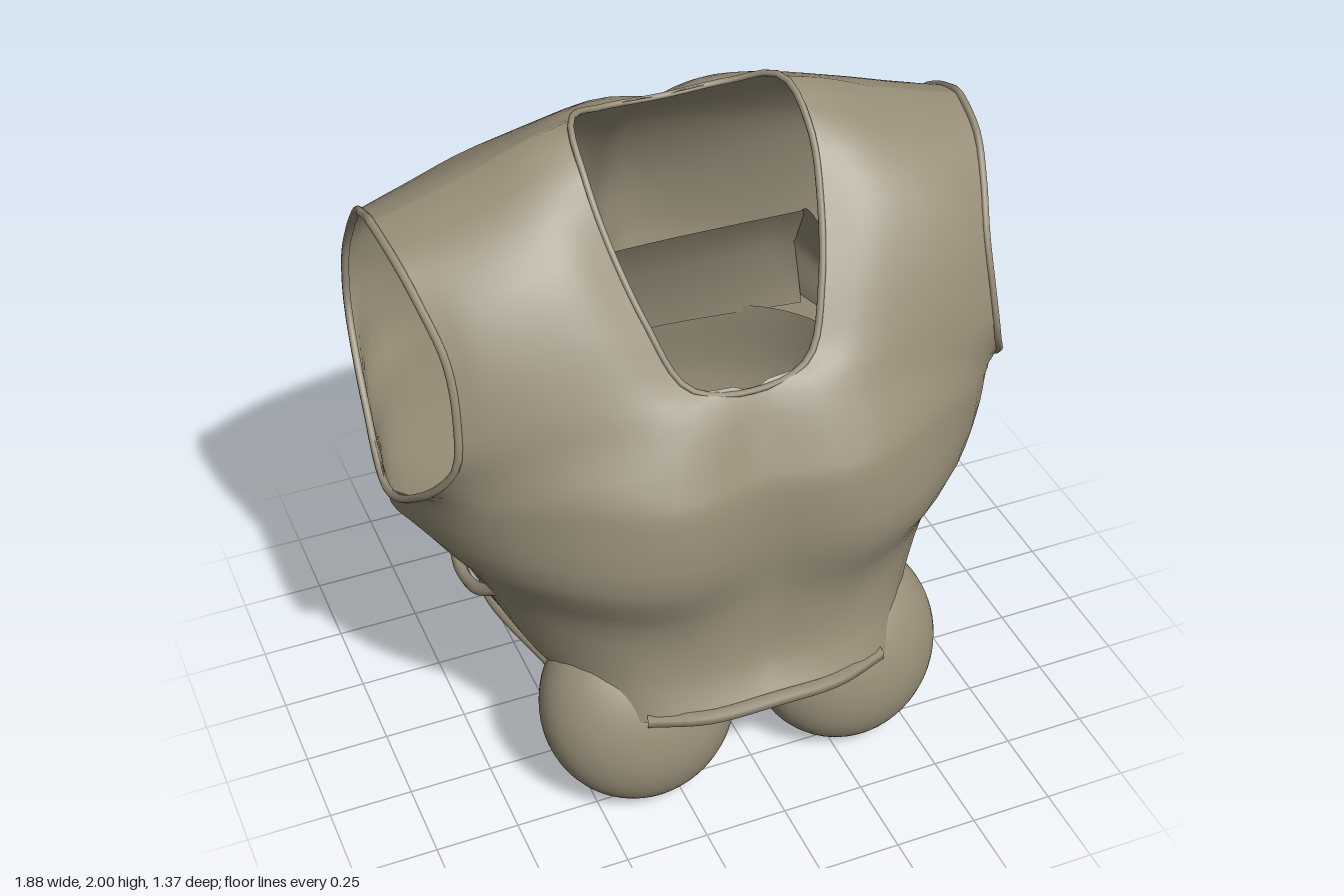
import * as THREE from 'three';
import { mergeGeometries, mergeVertices } from 'three/addons/utils/BufferGeometryUtils.js';

const cloth = new THREE.MeshStandardMaterial({ color: 0x968c76, side: THREE.DoubleSide });
cloth.name = 'khaki cloth';

// Each row runs from the centre line (or neck edge) out to the side seam (or armhole edge)
const frontLower = [
  [[0, .38, .67], [.2, .37, .66], [.39, .37, .59], [.55, .42, .36], [.64, .45, 0]],
  [[0, .5, .6], [.2, .5, .6], [.42, .5, .53], [.6, .5, .31], [.67, .52, 0]],
  [[0, .69, .585], [.25, .68, .59], [.48, .69, .5], [.68, .7, .29], [.76, .7, 0]],
  [[0, .89, .595], [.28, .87, .645], [.54, .88, .55], [.78, .88, .31], [.9, .87, 0]],
  [[0, 1.08, .585], [.28, 1.08, .63], [.56, 1.08, .52], [.8, 1.04, .33], [.93, .98, .02]],
  [[0, 1.18, .55], [.28, 1.18, .59], [.56, 1.18, .5], [.77, 1.15, .37], [.89, 1.1, .24]],
];
const frontUpper = [
  [[0, 1.36, .46], [.25, 1.32, .51], [.52, 1.3, .46], [.71, 1.28, .4], [.82, 1.25, .35]],
  [[.18, 1.4, .43], [.34, 1.42, .44], [.55, 1.42, .41], [.71, 1.41, .37], [.8, 1.4, .335]],
  [[.26, 1.57, .33], [.4, 1.58, .35], [.56, 1.57, .34], [.71, 1.56, .31], [.8, 1.55, .275]],
  [[.31, 1.75, .2], [.44, 1.74, .24], [.58, 1.72, .24], [.72, 1.69, .22], [.83, 1.67, .18]],
  [[.33, 1.9, .08], [.46, 1.87, .1], [.6, 1.83, .1], [.74, 1.79, .09], [.86, 1.76, .07]],
];
const shoulder = [[.31, 1.99, -.07], [.45, 1.95, -.07], [.6, 1.89, -.07], [.75, 1.84, -.07], [.88, 1.8, -.08]];
const backLower = [
  [[0, .5, -.395], [.2, .5, -.4], [.42, .48, -.33], [.58, .46, -.18], [.64, .45, 0]],
  [[0, .6, -.46], [.17, .6, -.47], [.45, .6, -.37], [.62, .57, -.2], [.67, .52, 0]],
  [[0, .75, -.54], [.16, .75, -.55], [.5, .75, -.43], [.7, .72, -.24], [.76, .7, 0]],
  [[0, .92, -.6], [.15, .92, -.62], [.54, .92, -.48], [.82, .9, -.27], [.9, .87, 0]],
  [[0, 1.1, -.64], [.14, 1.1, -.67], [.56, 1.1, -.52], [.84, 1.04, -.32], [.93, .98, .02]],
  [[0, 1.2, -.645], [.14, 1.2, -.685], [.57, 1.2, -.53], [.83, 1.16, -.41], [.91, 1.1, -.22]],
];
const backUpper = [
  [[0, 1.35, -.64], [.14, 1.35, -.675], [.57, 1.35, -.53], [.8, 1.33, -.46], [.89, 1.3, -.4]],
  [[0, 1.5, -.59], [.14, 1.5, -.625], [.57, 1.5, -.51], [.8, 1.48, -.45], [.88, 1.47, -.42]],
  [[0, 1.65, -.505], [.16, 1.65, -.535], [.56, 1.62, -.47], [.78, 1.6, -.42], [.87, 1.6, -.37]],
  [[0, 1.81, -.365], [.18, 1.81, -.39], [.52, 1.77, -.37], [.73, 1.72, -.34], [.87, 1.72, -.27]],
  [[0, 1.93, -.19], [.19, 1.92, -.26], [.48, 1.86, -.25], [.71, 1.8, -.23], [.88, 1.77, -.19]],
  [[.19, 1.95, -.165], [.33, 1.95, -.16], [.55, 1.89, -.15], [.73, 1.83, -.15], [.88, 1.79, -.13]],
];
const front = [...frontLower, ...frontUpper, shoulder];
const back = [...backLower, ...backUpper, shoulder];
const ARMPIT = 4; // row where the armhole begins

const vec = (p) => new THREE.Vector3(...p);
const flipX = (p) => [-p[0], p[1], p[2]];
const spline = (pts, closed = false) =>
  new THREE.CatmullRomCurve3(pts.map((p) => (p.isVector3 ? p : vec(p))), closed, 'catmullrom', 0.5);

// Skin a grid of points, given as rows of equal length
function skin(grid, flip = false) {
  const w = grid[0].length, index = [];
  for (let j = 0; j < grid.length - 1; j++) {
    for (let i = 0; i < w - 1; i++) {
      const a = j * w + i, b = a + 1, c = a + w, d = c + 1;
      index.push(...(flip ? [a, c, b, b, c, d] : [a, b, c, b, d, c]));
    }
  }
  const g = new THREE.BufferGeometry().setFromPoints(grid.flat());
  g.setIndex(index);
  return g;
}

// Smooth a coarse panel in both directions, on one side of the centre line
function panel(rows, isFront, mirror) {
  const nu = 16, per = 3, last = rows.length - 1;
  const fine = rows.map((r) => spline(r).getPoints(nu));
  const grid = Array.from({ length: last * per + 1 }, () => []);
  for (let i = 0; i <= nu; i++) {
    const col = fine.map((r) => r[i]);
    const pts = i < nu ? spline(col).getPoints(last * per)
      : [...spline(col.slice(0, ARMPIT + 1)).getPoints(ARMPIT * per),
        ...spline(col.slice(ARMPIT)).getPoints((last - ARMPIT) * per).slice(1)];
    pts.forEach((p, j) => {
      p.x = Math.max(0, p.x) * (mirror ? -1 : 1);
      grid[j].push(p);
    });
  }
  return skin(grid, isFront === mirror);
}

function smooth(geometries) {
  const g = mergeVertices(mergeGeometries(geometries), 1e-3);
  g.computeVertexNormals();
  return g;
}

// Drop the triangles whose centre passes the test
function cutAway(g, test) {
  const idx = g.index.array, kept = [], c = new THREE.Vector3(), v = new THREE.Vector3();
  for (let i = 0; i < idx.length; i += 3) {
    c.set(0, 0, 0);
    for (let k = 0; k < 3; k++) c.addScaledVector(v.fromBufferAttribute(g.attributes.position, idx[i + k]), 1 / 3);
    if (!test(c)) kept.push(idx[i], idx[i + 1], idx[i + 2]);
  }
  g.setIndex(kept);
  return g;
}

export function createModel() {
  const model = new THREE.Group();
  const add = (name, geometry) => {
    const m = new THREE.Mesh(geometry, cloth);
    m.name = name;
    model.add(m);
  };
  const tube = (name, pts, r, closed = false) =>
    add(name, new THREE.TubeGeometry(spline(pts, closed), 64, r, 6, closed));

  // Outer sleeveless shell
  const parts = [];
  for (const mirror of [false, true]) parts.push(panel(front, true, mirror), panel(back, false, mirror));
  add('vestShell', smooth(parts));

  // Neck trim
  const neckHalf = [...front.slice(7).map((r) => r[0]), back[11][0]];
  tube('neckTrim', [front[6][0], ...neckHalf, back[10][0], ...neckHalf.map(flipX).reverse()], .01, true);

  // Flat bar along the front hem
  const bar = [[0, .385, .665], [.2, .375, .65], [.37, .37, .59]];
  tube('frontHemBar', [...bar.slice(1).reverse().map(flipX), ...bar], .024);

  // Rounded front pouches, leaning back at the top
  const pouchShape = [1, -1].map((side) => new THREE.Matrix4().makeTranslation(side * .33, .29, .41)
    .multiply(new THREE.Matrix4().makeRotationX(-.45))
    .multiply(new THREE.Matrix4().makeScale(.3, .31, .2)));
  const toPouch = pouchShape.map((s) => s.clone().invert());
  const inPouch = (p) => toPouch.some((s) => p.clone().applyMatrix4(s).length() < .97);

  // Waist and inner layer: rows of half width, front y, back y, front z, back z
  const rings = [
    [.46, .13, .2, .42, -.33], [.53, .24, .3, .41, -.35], [.61, .45, .5, .42, -.395],
    [.63, .65, .75, .37, -.44], [.6, .85, 1.03, .28, -.41],
  ];
  const ringPoint = ([a, yf, yb, zf, zb], t) => {
    const s = Math.sin(t);
    return new THREE.Vector3(a * Math.sign(Math.cos(t)) * Math.abs(Math.cos(t)) ** .85,
      (yf + yb) / 2 + s * (yf - yb) / 2, (zf + zb) / 2 + s * (zf - zb) / 2);
  };
  const columns = Array.from({ length: 97 }, (_, i) =>
    spline(rings.map((r) => ringPoint(r, -i / 96 * Math.PI * 2))).getPoints(40));
  add('innerWaist', cutAway(smooth([skin(columns[0].map((_, j) => columns.map((c) => c[j])), true)]), inPouch));
  tube('waistHem', Array.from({ length: 24 }, (_, i) => ringPoint(rings[0], i / 24 * Math.PI * 2)), .012, true);

  // Inner panels rising to their own neckline: half width, y, side z, middle z
  const innerPanel = (name, rows, flip) => add(name, smooth([skin(rows.map(([x, y, zSide, zMid]) =>
    spline([[-x, y, zSide], [0, y - .02, zMid], [x, y, zSide]]).getPoints(12)), flip)]));
  innerPanel('innerBack', [[.52, 1.0, -.33, -.41], [.5, 1.22, -.35, -.38], [.47, 1.42, -.22, -.26]], true);
  innerPanel('innerFront', [[.52, .87, .17, .28], [.49, .99, .19, .22], [.45, 1.13, .18, .155]], false);

  [1, -1].forEach((side, n) => {
    const m = (pts) => pts.map(([x, y, z]) => [side * x, y, z]);
    const label = side > 0 ? 'left' : 'right';

    // Armhole trim
    tube(label + 'ArmholeTrim', m([...front.slice(ARMPIT).map((r) => r[4]),
      ...back.slice(ARMPIT + 1, -1).reverse().map((r) => r[4])]), .012, true);

    // Inner shoulder strap
    const top = spline(m([[.5, .9, .2], [.46, 1.12, .19], [.46, 1.32, .08], [.46, 1.42, -.05],
      [.46, 1.44, -.2], [.49, 1.24, -.35], [.52, 1.02, -.35]])).getPoints(36);
    const under = spline(m([[.6, .88, .12], [.58, 1.08, .16], [.57, 1.2, .08], [.56, 1.27, -.04],
      [.57, 1.25, -.15], [.59, 1.14, -.25], [.6, .98, -.22]])).getPoints(36);
    add(label + 'InnerStrap', smooth([skin([under, top], side < 0)]));

    // Pouch shell, open where it meets the waist
    const pouch = new THREE.SphereGeometry(1, 48, 36).applyMatrix4(pouchShape[n]);
    add(label + 'Pouch', cutAway(pouch, (p) => p.y > .14 && Math.abs(p.x) < .5
      && p.z < .02 + .39 * Math.sqrt(1 - (p.x / .5) ** 2)));

    // Cloth fold at the side and the rolled hem round to the back
    tube(label + 'SideFold', m([[.66, .67, .22], [.715, .61, .12], [.725, .59, 0],
      [.71, .63, -.1], [.7, .69, -.17]]), .02);
    tube(label + 'SideHem', m([...front[0].slice(3), ...back[0].slice(0, 4).reverse()]), .018);
  });
  return model;
}
